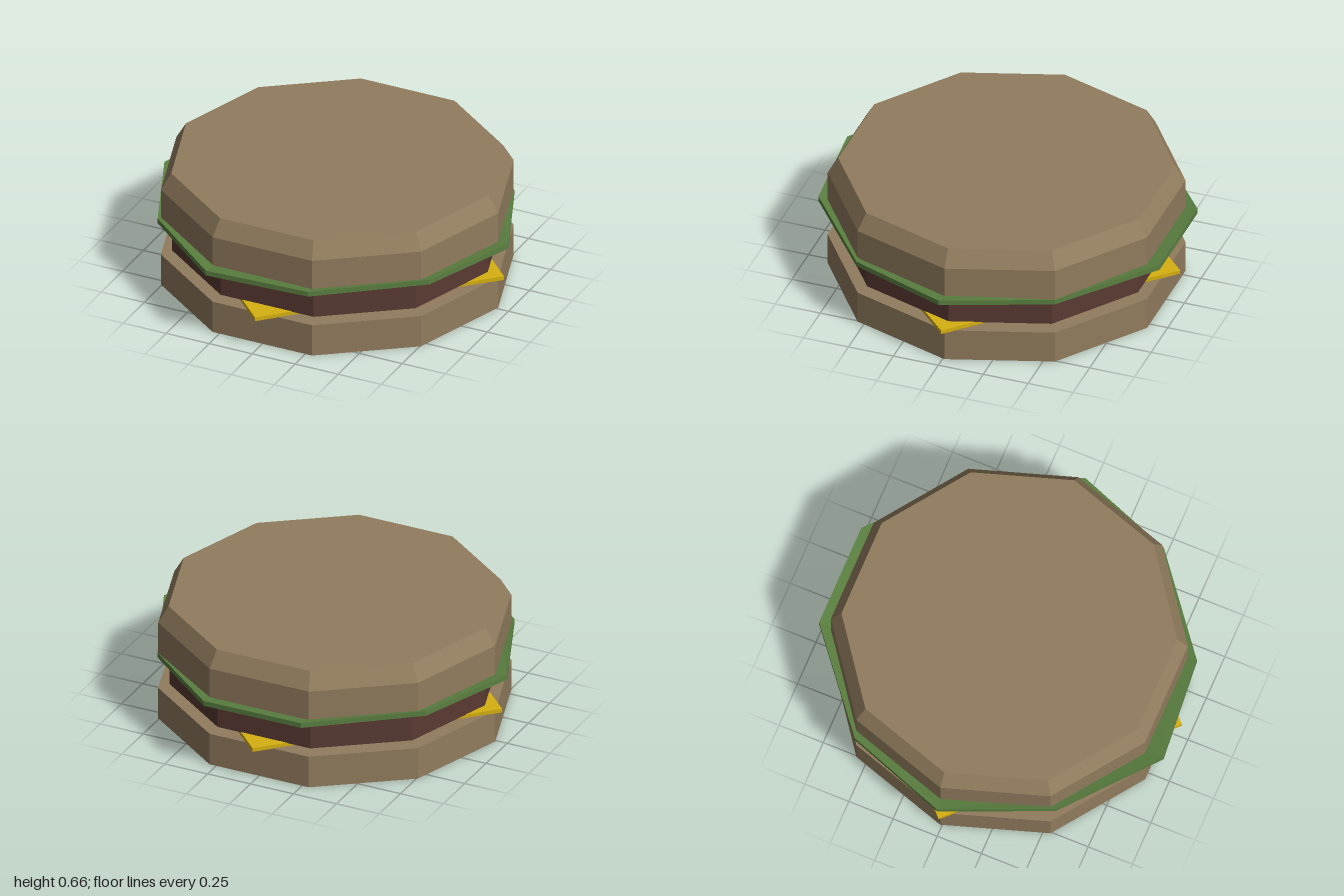
import * as THREE from 'three';

const SIDES = 10;
const CENTRE_Z = -0.01;

const paint = (color) => new THREE.MeshStandardMaterial({ color, flatShading: true });

// Ten-sided solid turned from a bottom-to-top profile, with a corner on the x axis
function turned(name, profile, material) {
  const points = profile.map(([r, y]) => new THREE.Vector2(r, y));
  const geometry = new THREE.LatheGeometry(points, SIDES).rotateY(Math.PI / 2);
  const mesh = new THREE.Mesh(geometry, material);
  mesh.name = name;
  mesh.position.z = CENTRE_Z;
  return mesh;
}

// Leaf with an uneven rim: [x, z, top height] for each corner
function lettuceGeometry() {
  const rim = [
    [1, 0, 0.403], [0.8, 0.53, 0.403], [0.29, 0.93, 0.405], [-0.28, 0.98, 0.418], [-0.76, 0.57, 0.408],
    [-1, 0, 0.405], [-0.8, -0.55, 0.405], [-0.28, -0.97, 0.41], [0.29, -0.97, 0.408], [0.76, -0.56, 0.387],
  ];
  const inner = (y, r) => rim.map((_, i) => {
    const a = (i / SIDES) * Math.PI * 2;
    return [r * Math.cos(a), y, r * Math.sin(a) + CENTRE_Z];
  });
  const rings = [
    inner(0.355, 0),
    inner(0.355, 0.86),
    rim.map(([x, z, y]) => [x, y - 0.028, z]),
    rim.map(([x, z, y]) => [x, y, z]),
    inner(0.385, 0.86),
    inner(0.385, 0),
  ];
  const index = [];
  for (let i = 0; i < rings.length - 1; i++) {
    for (let j = 0; j < SIDES; j++) {
      const k = (j + 1) % SIDES;
      const a = i * SIDES + j, b = i * SIDES + k;
      const c = a + SIDES, d = b + SIDES;
      index.push(a, c, b, b, c, d);
    }
  }
  const geometry = new THREE.BufferGeometry();
  geometry.setAttribute('position', new THREE.Float32BufferAttribute(rings.flat(2), 3));
  geometry.setIndex(index);
  geometry.computeVertexNormals();
  return geometry;
}

export function createModel() {
  const group = new THREE.Group();
  group.name = 'burger';
  const bread = paint(0x917c5d);

  // Bread and meat
  group.add(
    turned('bottomBun', [[0, 0], [0.935, 0], [0.935, 0.18], [0, 0.18]], bread),
    turned('patty', [[0, 0.198], [0.875, 0.198], [0.875, 0.36], [0, 0.36]], paint(0x5a3a33)),
    turned('topBun', [[0, 0.375], [0.935, 0.375], [0.935, 0.565], [0.88, 0.658], [0, 0.658]], bread),
  );

  // Square cheese slice, corners pointing front, back and sideways
  const side = 0.972 * Math.SQRT2;
  const cheese = new THREE.Mesh(new THREE.BoxGeometry(side, 0.022, side), paint(0xd6b010));
  cheese.name = 'cheese';
  cheese.rotation.y = Math.PI / 4;
  cheese.position.set(0, 0.189, -0.005);
  group.add(cheese);

  // Lettuce leaf
  const lettuce = new THREE.Mesh(lettuceGeometry(), paint(0x5a7f40));
  lettuce.name = 'lettuce';
  group.add(lettuce);

  return group;
}
